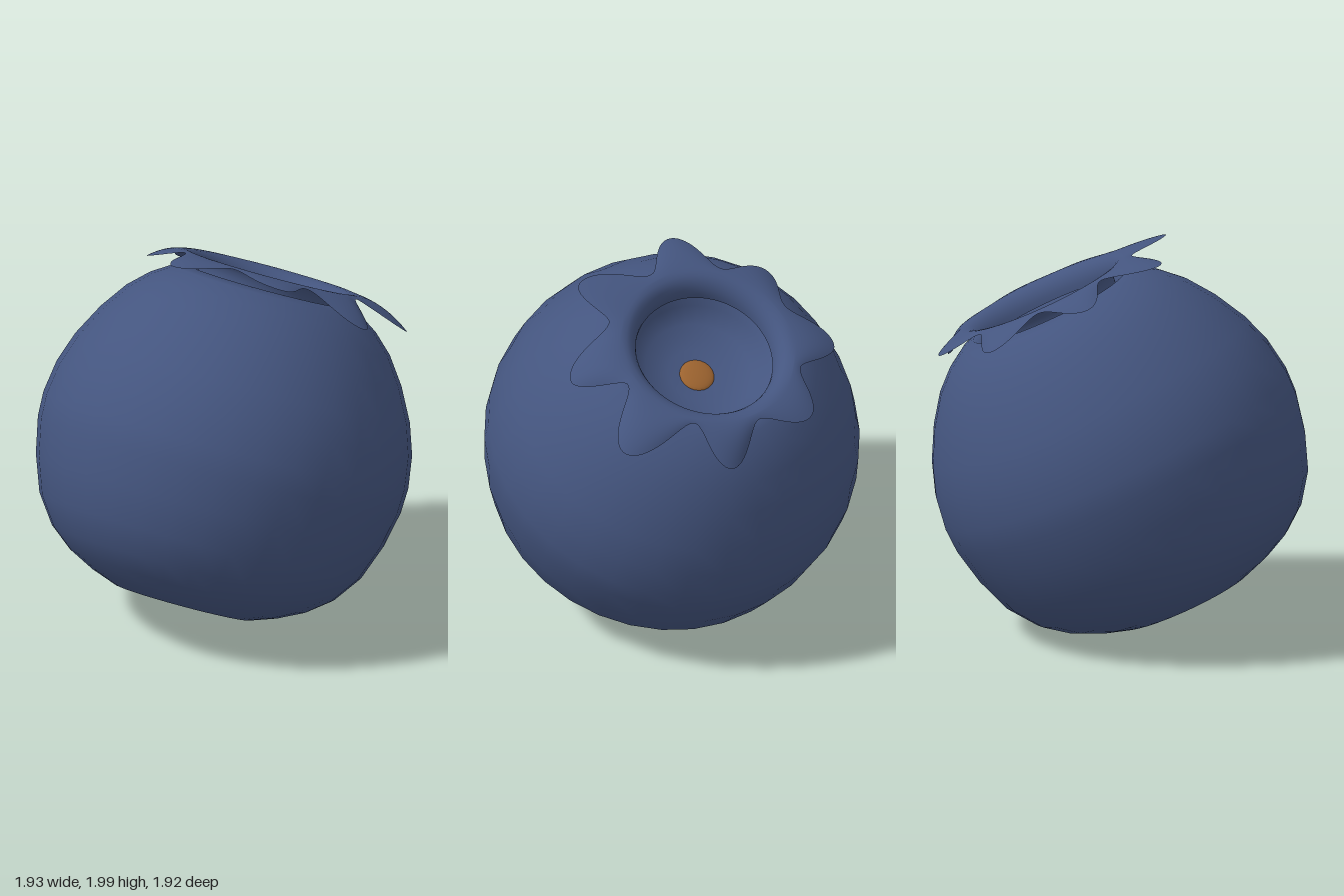
import * as THREE from 'three';

const skin = new THREE.MeshStandardMaterial({ color: 0x44557f });
skin.name = 'berry blue';
const crownSkin = new THREE.MeshStandardMaterial({ color: 0x44557f, side: THREE.DoubleSide });
crownSkin.name = 'crown blue';
const scarBrown = new THREE.MeshStandardMaterial({ color: 0x9c632f });
scarBrown.name = 'scar orange brown';

// Crown rim, alternating petal tips and notches: [angle in degrees, radius, height]
const RIM = [
  [12, 0.66, 1.64], [34, 0.476, 1.765], [59, 0.756, 1.66], [82, 0.505, 1.765],
  [98, 0.727, 1.64], [125, 0.525, 1.765], [140, 0.74, 1.74], [169, 0.5, 1.765],
  [190.7, 0.7, 1.70], [214, 0.49, 1.765], [235, 0.64, 1.69], [258.5, 0.505, 1.765],
  [284, 0.69, 1.70], [303, 0.49, 1.765], [326.5, 0.64, 1.73], [352, 0.485, 1.765],
];

// Eased radius and height of the rim at an angle
function rimAt(deg) {
  const d = ((deg - RIM[0][0]) % 360 + 360) % 360 + RIM[0][0];
  let i = RIM.length - 1;
  while (RIM[i][0] > d) i--;
  const a = RIM[i];
  const b = RIM[(i + 1) % RIM.length];
  const end = b[0] > a[0] ? b[0] : b[0] + 360;
  const t = (1 - Math.cos(Math.PI * (d - a[0]) / (end - a[0]))) / 2;
  return [a[1] + (b[1] - a[1]) * t, a[2] + (b[2] - a[2]) * t];
}

// Flared collar: a steep inner wall that rolls over into drooping petals
function crownGeometry() {
  const around = 240, wall = 6, petal = 10, rows = wall + petal;
  const throat = 0.36, crest = 0.45, low = 1.66, high = 1.775;
  const pos = [], index = [];
  for (let i = 0; i <= rows; i++) {
    for (let j = 0; j < around; j++) {
      const deg = 360 * j / around;
      const [R, H] = rimAt(deg);
      let r, h;
      if (i <= wall) {
        const q = (i / wall) * Math.PI / 2;
        r = throat + (crest - throat) * (1 - Math.cos(q));
        h = low + (high - low) * Math.sin(q);
      } else {
        const w = (i - wall) / petal;
        r = crest + (R - crest) * w;
        h = high - (high - H) * w * w;
      }
      const a = THREE.MathUtils.degToRad(deg);
      pos.push(r * Math.cos(a), h, r * Math.sin(a));
      if (i < rows) {
        const k = (j + 1) % around;
        const p = i * around + j, q = i * around + k;
        index.push(p, q, p + around, q, q + around, p + around);
      }
    }
  }
  const g = new THREE.BufferGeometry();
  g.setAttribute('position', new THREE.Float32BufferAttribute(pos, 3));
  g.setIndex(index);
  g.computeVertexNormals();
  return g;
}

export function createModel() {
  const model = new THREE.Group();
  model.name = 'blueberry';

  // The berry leans back and to its left
  const berry = new THREE.Group();
  berry.name = 'berry';
  berry.rotation.set(0, 0.953, -0.445, 'YZX');
  berry.position.set(0, 0.93, 0);
  model.add(berry);

  const add = (name, geometry, material, y = 0) => {
    const mesh = new THREE.Mesh(geometry, material);
    mesh.name = name;
    mesh.position.y = y - 0.86;
    berry.add(mesh);
    return mesh;
  };

  // Squat body with a flat base and a bowl sunk into the top
  const profile = [
    [0, 0.03], [0.2, 0.02], [0.36, 0.015], [0.5, 0.065], [0.63, 0.13], [0.75, 0.225],
    [0.855, 0.37], [0.925, 0.56], [0.965, 0.75], [0.97, 0.88], [0.945, 1.05],
    [0.89, 1.21], [0.8, 1.38], [0.7, 1.52], [0.6, 1.615], [0.5, 1.68], [0.43, 1.7],
    [0.38, 1.67], [0.35, 1.6], [0.28, 1.53], [0.15, 1.49], [0, 1.48],
  ].map(([r, h]) => new THREE.Vector2(r, h));
  add('body', new THREE.LatheGeometry(profile, 32), skin);

  // Crown of eight petals
  add('crown', crownGeometry(), crownSkin);

  // Scar in the middle of the bowl
  const scar = add('flowerScar', new THREE.SphereGeometry(0.092, 20, 12), scarBrown, 1.485);
  scar.scale.y = 0.25;

  return model;
}
